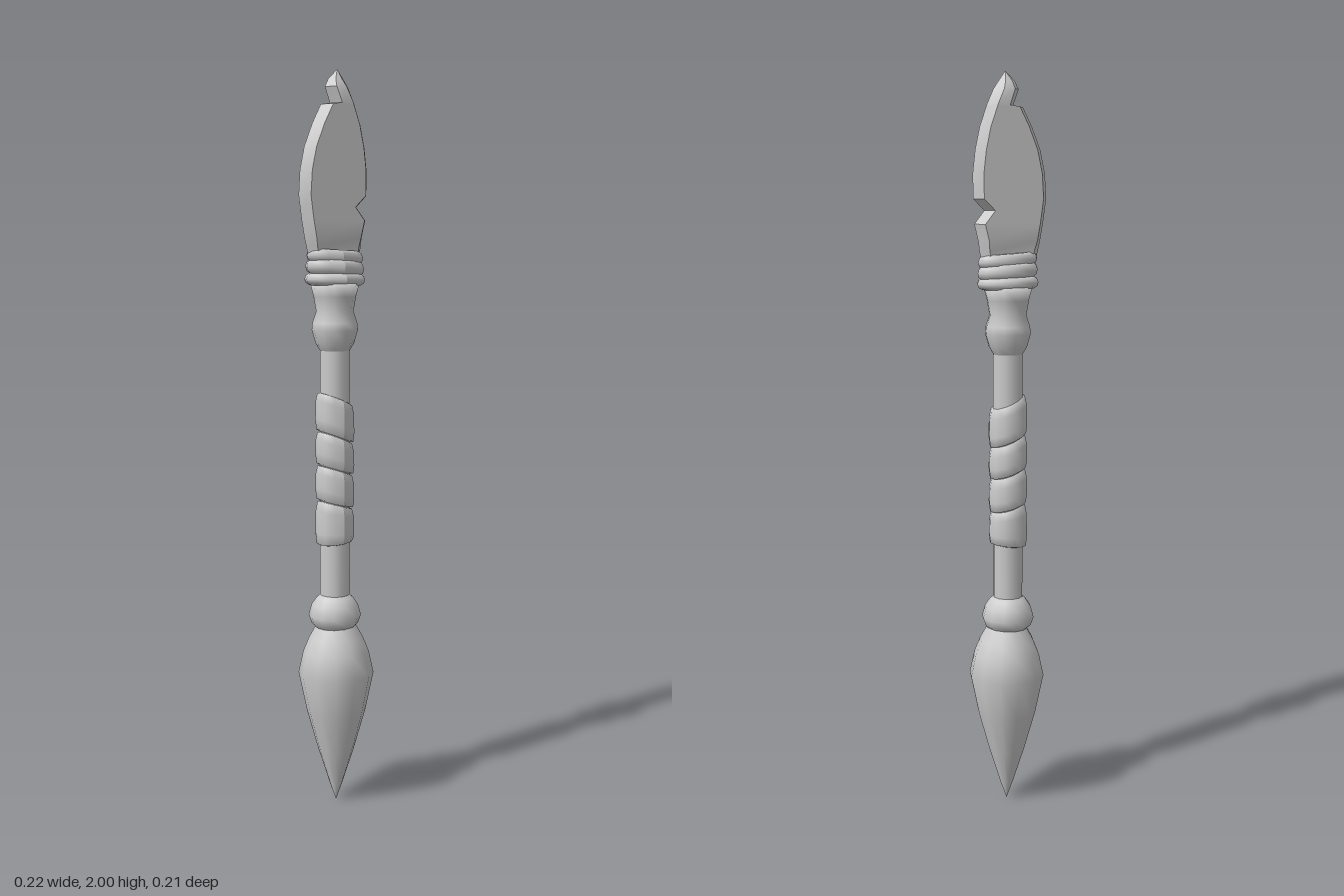
import * as THREE from 'three';
import { toCreasedNormals } from 'three/addons/utils/BufferGeometryUtils.js';

const material = new THREE.MeshStandardMaterial({ color: 0xcccccc, side: THREE.DoubleSide });

function addMesh(group, name, geometry) {
  const mesh = new THREE.Mesh(geometry, material);
  mesh.name = name;
  group.add(mesh);
  return mesh;
}

// Twelve-sided turned part from [radius, y] pairs, bottom to top
function turned(profile) {
  return new THREE.LatheGeometry(profile.map(([r, y]) => new THREE.Vector2(r, y)), 12);
}

// Slants a turned part: slope(y) is the drop in y per unit of x
function slant(geometry, slope) {
  const p = geometry.attributes.position;
  for (let i = 0; i < p.count; i++) {
    p.setY(i, p.getY(i) - slope(p.getY(i)) * p.getX(i));
  }
  geometry.computeVertexNormals();
  return geometry;
}

// Blade: six-sided sections [y, left x, right x, half thickness] with bevelled edges
function bladeGeometry() {
  const sections = [
    [1.49, -0.075, 0.07, 0.025], [1.54, -0.086, 0.08, 0.025],
    [1.565, -0.092, 0.083, 0.031], [1.61, -0.1, 0.094, 0.031],
    [1.645, -0.105, 0.066, 0.031], [1.675, -0.109, 0.097, 0.031],
    [1.74, -0.105, 0.098, 0.031], [1.8, -0.092, 0.091, 0.031],
    [1.86, -0.068, 0.078, 0.031], [1.91, -0.042, 0.06, 0.031],
    [1.914, -0.015, 0.059, 0.031], [1.955, -0.03, 0.04, 0.028],
    [1.975, -0.02, 0.026, 0.016], [2.0, 0.006, 0.008, 0.001],
  ];
  const vertices = [];
  const faces = [];
  for (const [y, l, r, t] of sections) {
    const b = Math.min(0.02, (r - l) * 0.3);
    vertices.push(l, y, 0, l + b, y, t, r - b, y, t, r, y, 0, r - b, y, -t, l + b, y, -t);
  }
  for (let i = 0; i < sections.length - 1; i++) {
    for (let j = 0; j < 6; j++) {
      const a = i * 6 + j;
      const b = i * 6 + (j + 1) % 6;
      faces.push(a, b, b + 6, a, b + 6, a + 6);
    }
  }
  // End caps
  const top = (sections.length - 1) * 6;
  for (let j = 1; j < 5; j++) faces.push(0, j + 1, j, top, top + j, top + j + 1);
  const geometry = new THREE.BufferGeometry();
  geometry.setAttribute('position', new THREE.Float32BufferAttribute(vertices, 3));
  geometry.setIndex(faces);
  return toCreasedNormals(geometry, 0.5);
}

export function createModel() {
  const group = new THREE.Group();

  // Pointed bulb at the foot
  addMesh(group, 'footBulb', turned([
    [0, 0], [0.018, 0.05], [0.05, 0.15], [0.081, 0.26], [0.104, 0.37],
    [0.091, 0.43], [0.075, 0.47], [0.05, 0.515],
  ])).position.x = 0.004;

  // Collar above the bulb
  addMesh(group, 'footCollar', turned([
    [0.05, 0.5], [0.064, 0.512], [0.072, 0.535], [0.064, 0.565], [0.05, 0.585], [0.038, 0.595],
  ]));

  // Handle
  addMesh(group, 'shaft', turned([[0.04, 0.52], [0.041, 0.9], [0.04, 1.3]]));

  // Flared socket under the head
  addMesh(group, 'socket', turned([
    [0.04, 1.265], [0.052, 1.285], [0.062, 1.32], [0.06, 1.34], [0.05, 1.37],
    [0.057, 1.41], [0.066, 1.445], [0, 1.45],
  ]));

  // Slanted strips wound round the grip
  const levels = [0.738, 0.845, 0.94, 1.03, 1.135];
  const slopes = [-0.12, 0.28, 0.34, 0.4, 0.42];
  for (let i = 0; i < 4; i++) {
    const y0 = levels[i];
    const y1 = levels[i + 1];
    const strip = turned([
      [0.038, y0], [0.05, y0 + 0.004], [0.053, y0 + 0.03],
      [0.052, y1 - 0.025], [0.047, y1 - 0.002], [0.038, y1],
    ]);
    const slope = (y) => THREE.MathUtils.lerp(slopes[i], slopes[i + 1], (y - y0) / (y1 - y0));
    addMesh(group, 'gripStrip' + (i + 1), slant(strip, slope));
  }

  // Oval cords binding the blade to the socket
  const cords = [
    { y: 1.455, h: 0.016, r: 0.086, depth: 0.77, slope: 0.02 },
    { y: 1.486, h: 0.02, r: 0.085, depth: 0.68, slope: 0.06 },
    { y: 1.515, h: 0.018, r: 0.084, depth: 0.58, slope: 0.06 },
  ];
  cords.forEach(({ y, h, r, depth, slope }, i) => {
    const cord = turned([
      [0, y - h], [r - 0.014, y - h], [r - 0.003, y - h * 0.6], [r, y],
      [r - 0.004, y + h * 0.6], [r - 0.014, y + h], [0, y + h],
    ]);
    cord.scale(1, 1, depth);
    addMesh(group, 'bindingCord' + (i + 1), slant(cord, () => slope));
  });

  // Chipped stone blade
  addMesh(group, 'blade', bladeGeometry());

  return group;
}
